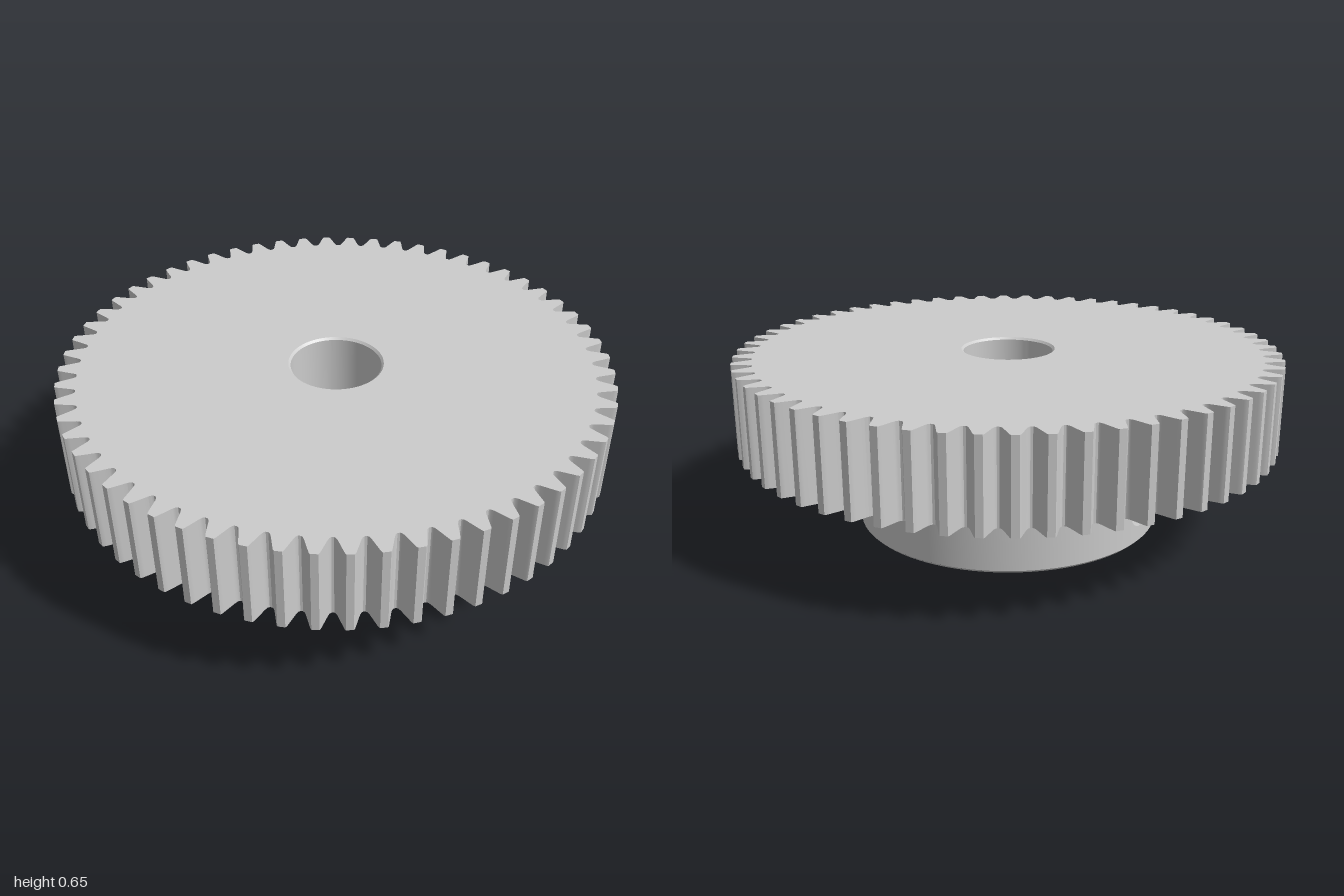
import * as THREE from 'three';
import { toCreasedNormals } from 'three/addons/utils/BufferGeometryUtils.js';
import { ParametricGeometry } from 'three/addons/geometries/ParametricGeometry.js';

const TEETH = 60, PHASE = THREE.MathUtils.degToRad(1.5);
const GEAR_Y = 0.33, TOP = 0.647;
const HUB_R = 0.565, BORE_R = 0.165, CHAMFER = 0.008;
// set screw hole: direction around the axis, height and radius
const HOLE_PHI = Math.PI - THREE.MathUtils.degToRad(8.5), HOLE_Y = 0.13, HOLE_R = 0.064;

const material = new THREE.MeshStandardMaterial({ color: 0xcccccc });

function add(group, name, geometry) {
  const mesh = new THREE.Mesh(geometry, material);
  mesh.name = name;
  group.add(mesh);
  return mesh;
}

function lathe(points, segments = 96, start = 0, length = Math.PI * 2) {
  const pts = points.map(([x, y]) => new THREE.Vector2(x, y));
  return toCreasedNormals(new THREE.LatheGeometry(pts, segments, start, length), 0.5);
}

// Toothed outline: half widths of one tooth at each radius, root to tip
function gearGeometry() {
  const profile = [
    [0.927, 0.0445], [0.931, 0.039], [0.94, 0.0345], [0.955, 0.0295],
    [0.97, 0.0245], [0.985, 0.0195], [0.995, 0.016], [1, 0.0125],
  ];
  const outline = [];
  for (let i = 0; i < TEETH; i++) {
    const mid = PHASE + (i / TEETH) * Math.PI * 2;
    const put = (r, w) => {
      const a = mid + w / r;
      outline.push(new THREE.Vector2(r * Math.cos(a), r * Math.sin(a)));
    };
    profile.forEach(([r, w]) => put(r, -w));
    [...profile].reverse().forEach(([r, w]) => put(r, w));
  }
  const shape = new THREE.Shape(outline);
  const bore = new THREE.Path();
  bore.absarc(0, 0, BORE_R + CHAMFER, 0, Math.PI * 2, true);
  shape.holes.push(bore);
  const geometry = new THREE.ExtrudeGeometry(shape, {
    depth: TOP - GEAR_Y, bevelEnabled: false, curveSegments: 48,
  });
  geometry.rotateX(-Math.PI / 2).translate(0, GEAR_Y, 0);
  return toCreasedNormals(geometry, 0.5);
}

// Point on a cylinder, s measured from the hole direction
function onCylinder(radius, s, y, target) {
  return target.set(radius * Math.sin(HOLE_PHI + s), y, radius * Math.cos(HOLE_PHI + s));
}

// Rim of the round hole where it meets a cylinder, as [s, y]
function rim(radius, u) {
  const a = -0.75 * Math.PI + u * Math.PI * 2;
  return [Math.asin((HOLE_R * Math.cos(a)) / radius), HOLE_Y + HOLE_R * Math.sin(a)];
}

// Curved wall panel with the round hole in it
function holedPanel(radius, half, y0, y1, inward) {
  const corners = [[-half, y0], [half, y0], [half, y1], [-half, y1]];
  return new ParametricGeometry((u, v, target) => {
    const side = Math.min(3, Math.floor(u * 4)), f = u * 4 - side;
    const p = corners[side], q = corners[(side + 1) % 4];
    const [s, y] = rim(radius, u);
    const k = inward ? v : 1 - v;
    onCylinder(
      radius,
      THREE.MathUtils.lerp(s, THREE.MathUtils.lerp(p[0], q[0], f), k),
      THREE.MathUtils.lerp(y, THREE.MathUtils.lerp(p[1], q[1], f), k),
      target,
    );
  }, 64, 8);
}

export function createModel() {
  const model = new THREE.Group();
  model.name = 'spurGear';
  add(model, 'toothedWheel', gearGeometry());

  // Hub: bottom face with chamfered edge, then the wall around the holed panel
  const hub = new THREE.Group();
  hub.name = 'hub';
  model.add(hub);
  const hubHalf = 0.25, wallY = 0.01;
  add(hub, 'hubBottom', lathe([[BORE_R + CHAMFER, 0], [HUB_R - 0.01, 0], [HUB_R, wallY]]));
  add(hub, 'hubWall', lathe([[HUB_R, wallY], [HUB_R, GEAR_Y]], 88,
    HOLE_PHI + hubHalf, Math.PI * 2 - 2 * hubHalf));
  add(hub, 'hubHolePanel', holedPanel(HUB_R, hubHalf, wallY, GEAR_Y, false));

  // Bore: chamfers at both ends, and the inner wall with the screw hole opening
  const bore = new THREE.Group();
  bore.name = 'bore';
  model.add(bore);
  const boreHalf = 0.7, y0 = CHAMFER, y1 = TOP - CHAMFER;
  add(bore, 'boreTopChamfer', lathe([[BORE_R + CHAMFER, TOP], [BORE_R, y1]]));
  add(bore, 'boreBottomChamfer', lathe([[BORE_R, y0], [BORE_R + CHAMFER, 0]]));
  add(bore, 'boreWall', lathe([[BORE_R, y1], [BORE_R, y0]], 64,
    HOLE_PHI + boreHalf, Math.PI * 2 - 2 * boreHalf));
  add(bore, 'boreHolePanel', holedPanel(BORE_R, boreHalf, y0, y1, true));

  // Set screw hole running from the hub wall to the bore
  const outer = new THREE.Vector3(), inner = new THREE.Vector3();
  add(model, 'setScrewHole', new ParametricGeometry((u, v, target) => {
    onCylinder(HUB_R, ...rim(HUB_R, u), outer);
    onCylinder(BORE_R, ...rim(BORE_R, u), inner);
    target.lerpVectors(outer, inner, v);
  }, 64, 2));

  return model;
}
